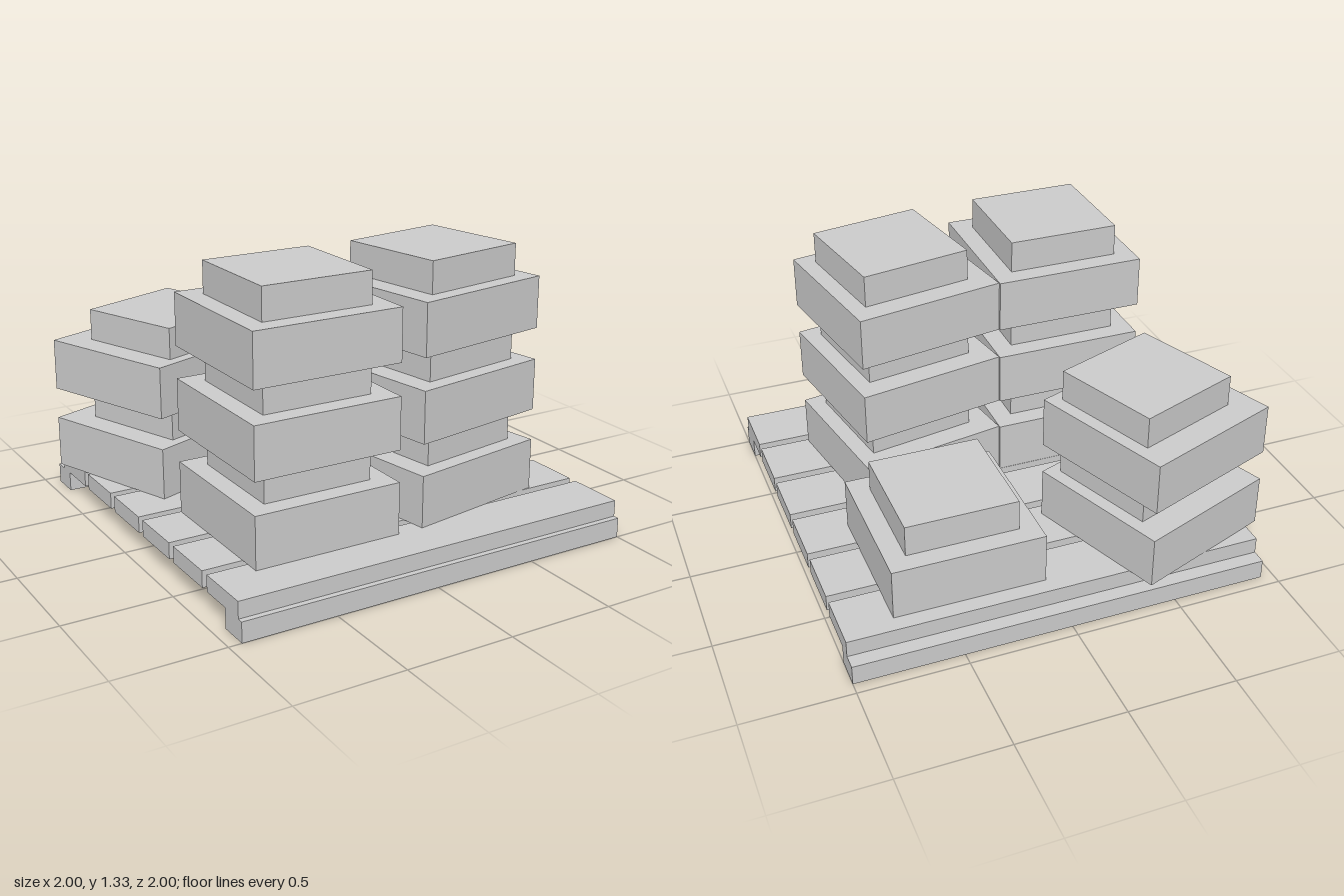
import * as THREE from 'three';

const material = new THREE.MeshStandardMaterial({ color: 0xcccccc, flatShading: true });

// Box resting with its underside at height y
function addBox(parent, name, [w, h, d], [x, y, z], angle = 0) {
  const mesh = new THREE.Mesh(new THREE.BoxGeometry(w, h, d), material);
  mesh.name = name;
  mesh.position.set(x, y + h / 2, z);
  mesh.rotation.y = THREE.MathUtils.degToRad(angle);
  parent.add(mesh);
}

const DECK_TOP = 0.17, BOX_H = 0.24, LID_H = 0.147;

// Pallet: two runners under six slats
function createPallet() {
  const pallet = new THREE.Group();
  pallet.name = 'pallet';
  const length = 1.94, x = 0.03;
  for (const z of [0.93, -0.873]) addBox(pallet, 'runner', [length, 0.093, 0.14], [x, 0, z]);
  for (let i = 0; i < 6; i++) {
    addBox(pallet, 'slat', [length, DECK_TOP - 0.093, 0.273], [x, 0.093, 0.836 - i * 0.3145]);
  }
  return pallet;
}

// Stack of wide boxes, each topped by a narrower lid
function createStack({ name, layers, box, lid, angle }) {
  const stack = new THREE.Group();
  stack.name = name;
  for (let i = 0; i < layers; i++) {
    const y = DECK_TOP + i * (BOX_H + LID_H);
    addBox(stack, 'box', [0.7, BOX_H, 0.7], [box[0], y, box[1]], angle);
    addBox(stack, 'lid', [0.517, LID_H, 0.517], [lid[0], y + BOX_H, lid[1]], angle);
  }
  return stack;
}

export function createModel() {
  const model = new THREE.Group();
  model.name = 'loadedPallet';
  model.add(createPallet());

  const stacks = [
    { name: 'frontRightStack', layers: 3, box: [-0.402, 0.422], lid: [-0.402, 0.422], angle: 0 },
    { name: 'frontLeftStack', layers: 3, box: [0.355, 0.365], lid: [0.37, 0.378], angle: 10 },
    { name: 'backLeftStack', layers: 1, box: [0.42, -0.447], lid: [0.42, -0.447], angle: 0 },
    { name: 'backRightStack', layers: 2, box: [-0.55, -0.547], lid: [-0.51, -0.52], angle: 20.5 },
  ];
  for (const stack of stacks) model.add(createStack(stack));
  return model;
}
